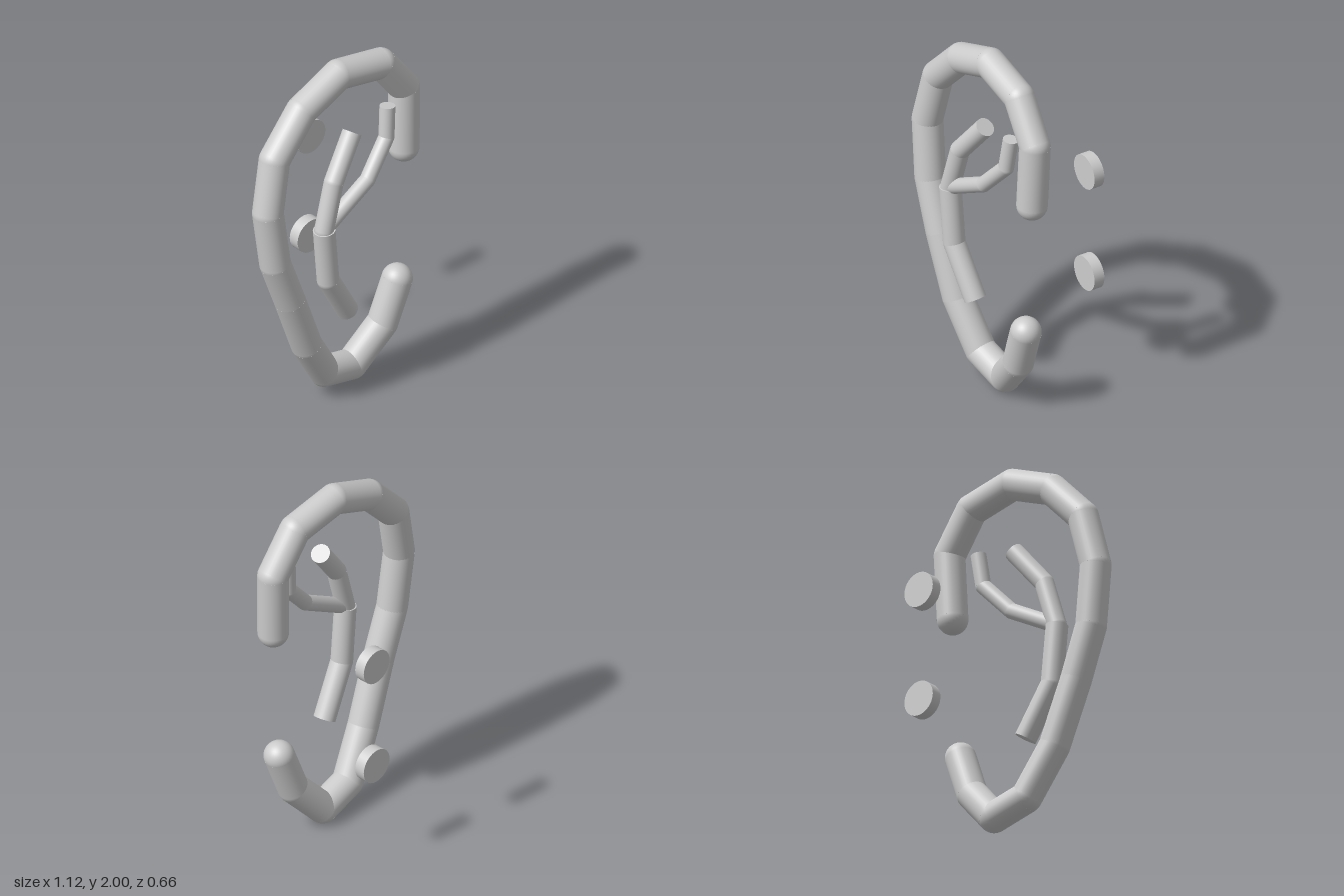
import * as THREE from 'three';

const grey = new THREE.MeshStandardMaterial({ color: 0xcccccc });
grey.name = 'light grey';

// Straight rods through the points, with balls at the bends (and at the ends when rounded)
function bentRod(name, points, radius, roundEnds, startBall = roundEnds) {
  const rod = new THREE.Group();
  rod.name = name;
  const pts = points.map((p) => new THREE.Vector3(...p));
  const up = new THREE.Vector3(0, 1, 0);
  pts.forEach((p, i) => {
    const last = i === pts.length - 1;
    if (i === 0 ? startBall : !last || roundEnds) {
      const ball = new THREE.Mesh(new THREE.SphereGeometry(radius, 32, 20), grey);
      ball.position.copy(p);
      ball.name = name + 'Joint';
      rod.add(ball);
    }
    if (last) return;
    const dir = pts[i + 1].clone().sub(p);
    const piece = new THREE.Mesh(new THREE.CylinderGeometry(radius, radius, dir.length(), 32), grey);
    piece.position.copy(p).addScaledVector(dir, 0.5);
    piece.quaternion.setFromUnitVectors(up, dir.normalize());
    piece.name = name + 'Segment';
    rod.add(piece);
  });
  return rod;
}

export function createModel() {
  const model = new THREE.Group();
  model.name = 'earFrame';

  // Outer rim, from the front of the ear over the top and down to the lobe
  model.add(bentRod('outerRim', [
    [0.463, 1.30, 0.185], [0.475, 1.655, 0.175], [0.32, 1.865, 0.168], [0.04, 1.92, 0.16],
    [-0.22, 1.815, 0.165], [-0.415, 1.61, 0.178], [-0.48, 1.325, 0.2], [-0.44, 1.0, 0.21],
    [-0.34, 0.73, 0.21], [-0.21, 0.39, 0.193], [-0.055, 0.135, 0.155], [0.147, 0.08, 0.14],
    [0.325, 0.275, 0.178], [0.413, 0.51, 0.19],
  ], 0.081, true));

  // Inner ridge and its two upper branches
  const fork = [-0.16, 1.11, 0.272];
  model.add(bentRod('innerRidge', [[0.025, 0.52, 0.242], [-0.13, 0.79, 0.268], fork], 0.058, false));
  model.add(bentRod('upperBranch', [fork, [-0.085, 1.365, 0.262], [0.08, 1.575, 0.218]], 0.051, false, true));
  model.add(bentRod('frontBranch',
    [fork, [0.14, 1.28, 0.268], [0.30, 1.455, 0.235], [0.32, 1.63, 0.22]], 0.041, false));

  // Two discs behind the ear
  for (const [name, y] of [['upperDisc', 1.22], ['lowerDisc', 0.61]]) {
    const disc = new THREE.Mesh(new THREE.CylinderGeometry(0.095, 0.095, 0.06, 40), grey);
    disc.rotation.x = Math.PI / 2;
    disc.position.set(0.247, y, -0.305);
    disc.name = name;
    model.add(disc);
  }
  return model;
}
